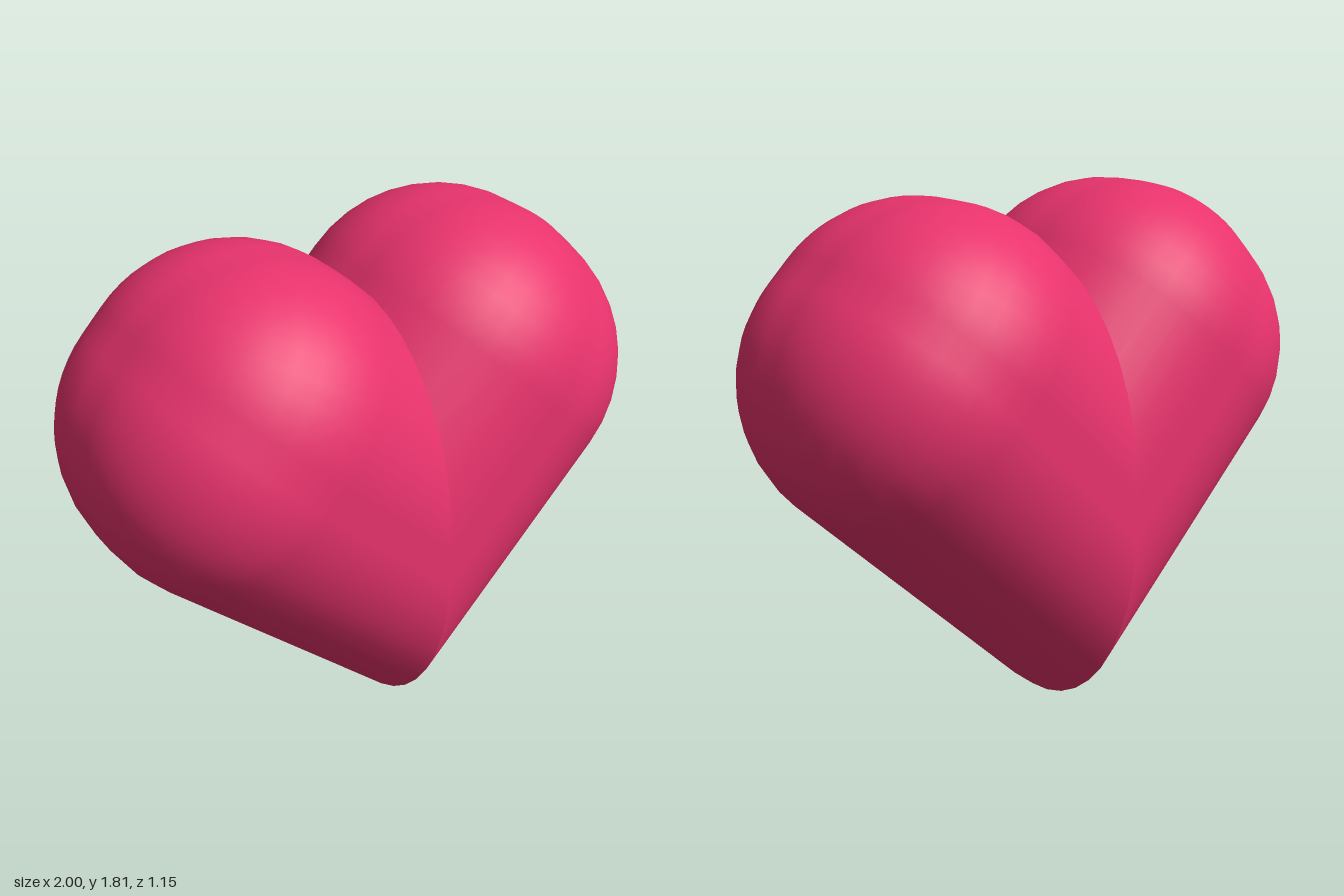
import * as THREE from 'three';

const R = 0.522;        // rounding radius of the lobe
const E = 0.051;        // half width of the small flat between roundings
const AXIS_Y = 0.81;    // height where the two lobe axes meet
const CAP_T = 0.625;    // distance along the axis where the domed end starts
const SEG = 10;         // segments per quarter turn

// One lobe: a rounded square bar leaning 45 degrees, mitred on the plane x = 0
function lobeGeometry(side) {
  const pos = [], nor = [], idx = [];
  const k = Math.SQRT1_2;
  // u = across the lobe, t = along its axis
  const add = (u, t, z, nu, nt, nz) => {
    pos.push(side * (t + u) * k, AXIS_Y + (t - u) * k, z);
    nor.push(side * (nt + nu) * k, (nt - nu) * k, nz);
  };
  const tri = (a, b, c) => (side > 0 ? idx.push(a, b, c) : idx.push(a, c, b));

  // Ring -1 is the mitre; rings 0..SEG form the domed end
  const count = 4 * (SEG + 1);
  for (let i = -1; i <= SEG; i++) {
    const phi = Math.max(i, 0) / SEG * Math.PI / 2;
    for (let q = 0; q < 4; q++) {
      const su = q === 0 || q === 3 ? 1 : -1;
      const sz = q < 2 ? 1 : -1;
      for (let j = 0; j <= SEG; j++) {
        const th = (q + j / SEG) * Math.PI / 2;
        const nu = Math.cos(phi) * Math.cos(th);
        const nz = Math.cos(phi) * Math.sin(th);
        const nt = Math.sin(phi);
        const u = su * E + R * nu;
        add(u, i < 0 ? -u : CAP_T + R * nt, sz * E + R * nz, nu, nt, nz);
      }
    }
  }
  for (let i = 0; i <= SEG; i++) {
    for (let j = 0; j < count; j++) {
      const n = (j + 1) % count;
      const a = i * count + j, b = a + count;
      const c = i * count + n, d = c + count;
      tri(a, b, c);
      tri(b, d, c);
    }
  }
  // Small flat closing the tip of the dome
  const last = (SEG + 1) * count, centre = last + count;
  add(0, CAP_T + R, 0, 0, 1, 0);
  for (let j = 0; j < count; j++) tri(centre, last + (j + 1) % count, last + j);

  const geo = new THREE.BufferGeometry();
  geo.setAttribute('position', new THREE.Float32BufferAttribute(pos, 3));
  geo.setAttribute('normal', new THREE.Float32BufferAttribute(nor, 3));
  geo.setIndex(idx);
  return geo;
}

export function createModel() {
  const heart = new THREE.Group();
  heart.name = 'heart';
  const material = new THREE.MeshStandardMaterial({ color: 0xe8336d });
  for (const [name, side] of [['leftLobe', 1], ['rightLobe', -1]]) {
    const lobe = new THREE.Mesh(lobeGeometry(side), material);
    lobe.name = name;
    heart.add(lobe);
  }
  return heart;
}
